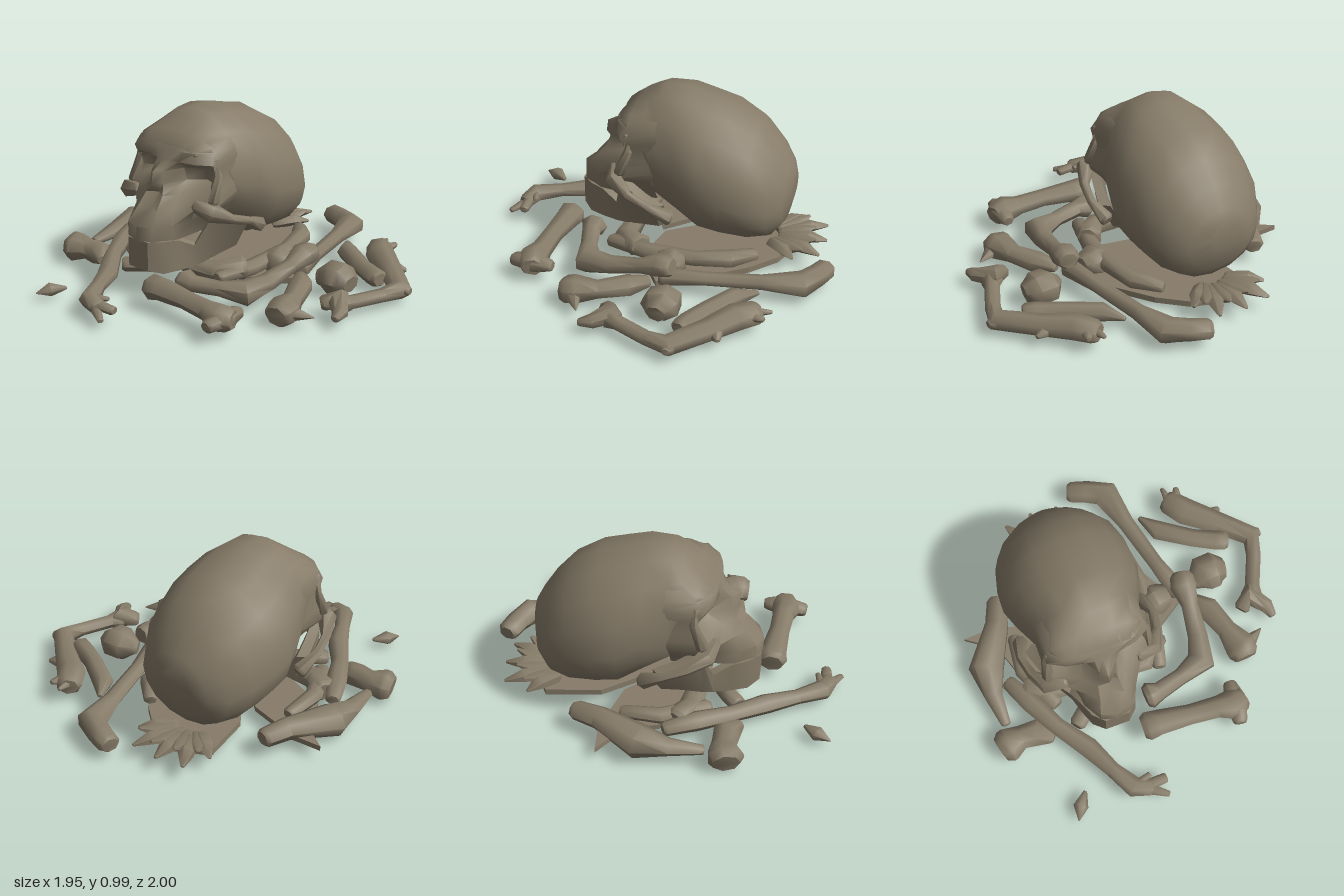
import * as THREE from 'three';
import { toCreasedNormals } from 'three/addons/utils/BufferGeometryUtils.js';

const boneMaterial = new THREE.MeshStandardMaterial({ color: 0x877c69, side: THREE.DoubleSide });
boneMaterial.name = 'old bone';

// Skin a list of rings; closed wraps each ring and fills both ends.
function loft(rings, closed, crease) {
  const n = rings[0].length, pos = rings.flat(2), idx = [];
  for (let i = 0; i < rings.length - 1; i++) {
    for (let j = 0; j < (closed ? n : n - 1); j++) {
      const k = (j + 1) % n;
      const a = i * n + j, b = i * n + k, d = a + n, c = b + n;
      idx.push(a, d, b, b, d, c);
    }
  }
  if (closed) {
    const e = (rings.length - 1) * n;
    for (let j = 1; j < n - 1; j++) idx.push(0, j, j + 1, e, e + j + 1, e + j);
  }
  const g = new THREE.BufferGeometry();
  g.setAttribute('position', new THREE.Float32BufferAttribute(pos, 3));
  g.setIndex(idx);
  return toCreasedNormals(g, crease);
}

// Bone running through [x, y, z, radius] points, with chamfered ends.
function boneGeometry(pts, sides = 7, flat = 0.85) {
  const chamfer = (end, next) => {
    const e = new THREE.Vector3(...end), inner = new THREE.Vector3(...next).sub(e).setLength(end[3] * 0.35).add(e);
    return [[end[0], end[1], end[2], end[3] * 0.75], [...inner.toArray(), end[3]]];
  };
  const last = pts.length - 1;
  const path = [...chamfer(pts[0], pts[1]), ...pts.slice(1, -1), ...chamfer(pts[last], pts[last - 1]).reverse()];
  const v = path.map(p => new THREE.Vector3(p[0], p[1], p[2]));
  const up = new THREE.Vector3(0, 1, 0);
  return loft(v.map((p, i) => {
    const t = v[Math.min(i + 1, v.length - 1)].clone().sub(v[Math.max(i - 1, 0)]).normalize();
    const s = t.clone().cross(up).normalize(), u = s.clone().cross(t);
    return Array.from({ length: sides }, (_, j) => {
      const a = j / sides * Math.PI * 2, r = path[i][3];
      return p.clone().addScaledVector(s, Math.cos(a) * r)
        .addScaledVector(u, Math.sin(a) * r * flat).toArray();
    });
  }), true, 1);
}

export function createModel() {
  const model = new THREE.Group();
  model.name = 'skullOnBones';
  const add = (name, geometry, parent = model) => {
    const m = new THREE.Mesh(geometry, boneMaterial);
    m.name = name;
    parent.add(m);
  };

  // Skull, turned a little to its right
  const skull = new THREE.Group();
  skull.name = 'skull';
  skull.position.x = -0.275;
  skull.rotation.y = -0.06;
  model.add(skull);

  // Cranium sections: z, half width, top, bottom
  const cranium = [
    [0.275, 0.2, 0.81, 0.75], [0.2, 0.265, 0.865, 0.73], [0.11, 0.285, 0.935, 0.52],
    [0.05, 0.305, 0.97, 0.3], [-0.09, 0.365, 0.968, 0.23], [-0.22, 0.4, 0.93, 0.15],
    [-0.35, 0.395, 0.897, 0.13], [-0.5, 0.36, 0.81, 0.12], [-0.61, 0.29, 0.69, 0.14],
    [-0.68, 0.2, 0.585, 0.23], [-0.71, 0.09, 0.53, 0.36],
  ].map(([z, w, top, bot]) => {
    const mid = bot + (top - bot) * 0.42;
    return Array.from({ length: 16 }, (_, j) => {
      const a = j / 16 * Math.PI * 2, s = Math.sin(a), c = Math.cos(a);
      return [w * Math.sign(c) * Math.abs(c) ** 0.95, mid + s * (s > 0 ? top - mid : mid - bot), z];
    });
  });
  add('cranium', loft(cranium, true, 1.1), skull);

  // Face rows: height, then x and z pairs from the midline outwards
  const face = [
    [0.84, 0, 0.23, 0.06, 0.23, 0.12, 0.22, 0.18, 0.18, 0.23, 0.1, 0.24, 0.03],
    [0.79, 0, 0.29, 0.05, 0.295, 0.12, 0.295, 0.2, 0.27, 0.27, 0.2, 0.28, 0.03],
    [0.73, 0, 0.31, 0.045, 0.31, 0.1, 0.3, 0.2, 0.28, 0.29, 0.23, 0.29, 0.02],
    [0.68, 0, 0.4, 0.04, 0.36, 0.09, 0.24, 0.2, 0.18, 0.285, 0.21, 0.29, 0.01],
    [0.61, 0, 0.41, 0.05, 0.37, 0.1, 0.23, 0.19, 0.16, 0.285, 0.2, 0.3, 0],
    [0.55, 0, 0.35, 0.06, 0.39, 0.12, 0.33, 0.2, 0.28, 0.3, 0.24, 0.3, 0],
    [0.48, 0, 0.41, 0.07, 0.45, 0.13, 0.39, 0.22, 0.31, 0.31, 0.26, 0.29, 0.05],
    [0.4, 0, 0.54, 0.09, 0.51, 0.15, 0.42, 0.18, 0.29, 0.21, 0.19, 0.23, 0.05],
    [0.31, 0, 0.54, 0.09, 0.51, 0.15, 0.4, 0.16, 0.28, 0.17, 0.15, 0.17, 0.05],
    [0.33, 0, 0.1, 0.05, 0.1, 0.08, 0.1, 0.1, 0.08, 0.12, 0.05, 0.14, 0.0],
  ].map(([y, ...p]) => {
    const half = [];
    for (let i = 0; i < p.length; i += 2) half.push([p[i], y, p[i + 1]]);
    return [...half.slice(1).reverse().map(q => [-q[0], y, q[2]]), ...half];
  });
  add('face', loft(face, false, 1), skull);

  // Jaw sections: bottom x, top x, z, bottom, top; the last ones are the upright branch
  const jaw = [
    [0.07, 0.07, 0.53, 0.15, 0.32], [0.13, 0.13, 0.47, 0.13, 0.32], [0.165, 0.165, 0.38, 0.13, 0.31],
    [0.19, 0.2, 0.29, 0.13, 0.26], [0.21, 0.3, 0.23, 0.14, 0.46], [0.23, 0.33, 0.12, 0.16, 0.4],
    [0.27, 0.36, 0.01, 0.19, 0.36],
  ];
  const jawRing = ([xb, xt, z, b, t], s) =>
    [[s * xb, b, z], [s * xt, t, z], [s * xt * 0.86, t, z - 0.04], [s * xb * 0.82, b, z - 0.04]];
  add('jaw', loft([...jaw.slice().reverse().map(p => jawRing(p, -1)), ...jaw.map(p => jawRing(p, 1))], true, 0.7), skull);

  for (const s of [-1, 1]) {
    add('cheekArch', boneGeometry([
      [s * 0.2, 0.5, 0.29, 0.04], [s * 0.31, 0.47, 0.26, 0.055], [s * 0.37, 0.42, 0.16, 0.028],
      [s * 0.395, 0.38, 0.04, 0.025], [s * 0.36, 0.31, -0.09, 0.045]], 6, 1), skull);
    add('eyeRim', boneGeometry([
      [s * 0.265, 0.76, 0.2, 0.025], [s * 0.285, 0.66, 0.185, 0.025], [s * 0.295, 0.51, 0.24, 0.035]], 6, 1), skull);
  }

  // Long bones lying around the skull
  const bones = {
    thighBone: [[0.01, 0.075, -0.95, 0.065], [0.12, 0.08, -0.9, 0.07], [0.22, 0.08, -0.84, 0.085], [0.255, 0.08, -0.62, 0.05], [0.31, 0.09, -0.3, 0.045], [0.36, 0.1, -0.06, 0.06]],
    bentBone: [[0.4, 0.2, -0.15, 0.07], [0.38, 0.19, -0.07, 0.08], [0.37, 0.16, 0.04, 0.05], [0.34, 0.12, 0.22, 0.06], [0.3, 0.1, 0.36, 0.085], [0.15, 0.1, 0.4, 0.05], [0, 0.1, 0.43, 0.055], [-0.09, 0.1, 0.43, 0.08]],
    frontBone: [[-0.18, 0.1, 0.59, 0.085], [-0.08, 0.11, 0.6, 0.075], [0.1, 0.11, 0.63, 0.06], [0.26, 0.1, 0.65, 0.065], [0.34, 0.09, 0.67, 0.09], [0.43, 0.09, 0.65, 0.08]],
    frontKnuckle: [[0.39, 0.09, 0.54, 0.04], [0.38, 0.09, 0.64, 0.065], [0.35, 0.08, 0.79, 0.045]],
    shortBone: [[0.4, 0.09, -0.02, 0.04], [0.47, 0.09, 0.08, 0.07], [0.52, 0.07, 0.24, 0.06], [0.55, 0.07, 0.36, 0.095], [0.55, 0.06, 0.44, 0.09]],
    shortBoneSpur: [[0.56, 0.07, 0.38, 0.06], [0.71, 0.05, 0.31, 0.004]],
    thinBone: [[0.34, 0.07, -0.62, 0.015], [0.41, 0.07, -0.5, 0.06], [0.58, 0.07, -0.37, 0.055], [0.7, 0.07, -0.3, 0.06], [0.77, 0.07, -0.27, 0.06]],
    elbowBone: [[0.53, 0.08, -0.66, 0.075], [0.61, 0.08, -0.54, 0.085], [0.74, 0.07, -0.42, 0.07], [0.91, 0.06, -0.24, 0.065], [0.87, 0.06, -0.12, 0.045], [0.78, 0.06, 0.05, 0.045], [0.74, 0.06, 0.12, 0.065]],
    elbowCorner: [[0.84, 0.07, -0.32, 0.05], [0.91, 0.06, -0.25, 0.055], [0.97, 0.06, -0.25, 0.03]],
    elbowKnuckle: [[0.65, 0.06, 0.16, 0.05], [0.73, 0.08, 0.1, 0.07], [0.8, 0.06, 0.2, 0.045], [0.81, 0.05, 0.27, 0.025]],
    elbowSpur: [[0.7, 0.07, -0.44, 0.07], [0.81, 0.06, -0.49, 0.015]],
    elbowProngA: [[0.55, 0.09, -0.63, 0.03], [0.54, 0.1, -0.73, 0.012]],
    elbowProngB: [[0.59, 0.09, -0.61, 0.035], [0.62, 0.1, -0.7, 0.018]],
    sideBone: [[-0.64, 0.1, -0.48, 0.06], [-0.7, 0.1, -0.33, 0.07], [-0.86, 0.09, -0.1, 0.105], [-0.88, 0.08, 0.06, 0.055], [-0.88, 0.07, 0.25, 0.03]],
    sideStub: [[-0.965, 0.06, 0.37, 0.1], [-0.91, 0.07, 0.36, 0.1], [-0.83, 0.07, 0.35, 0.07], [-0.74, 0.07, 0.36, 0.08], [-0.66, 0.07, 0.43, 0.04]],
    armBone: [[-0.78, 0.11, 0.02, 0.045], [-0.7, 0.11, 0.2, 0.06], [-0.62, 0.1, 0.38, 0.05], [-0.5, 0.08, 0.57, 0.06], [-0.43, 0.08, 0.74, 0.045], [-0.36, 0.08, 0.88, 0.06], [-0.26, 0.07, 0.92, 0.05]],
    fingerA: [[-0.33, 0.08, 0.9, 0.035], [-0.17, 0.07, 0.9, 0.03]],
    fingerB: [[-0.31, 0.06, 0.9, 0.035], [-0.19, 0.04, 0.99, 0.018]],
    fingerC: [[-0.36, 0.09, 0.88, 0.03], [-0.25, 0.1, 0.85, 0.015]],
    pileBoneA: [[-0.7, 0.1, 0.08, 0.08], [-0.58, 0.1, 0.16, 0.07], [-0.3, 0.08, 0.2, 0.05], [0.0, 0.1, 0.22, 0.07], [0.12, 0.12, 0.1, 0.08]],
    pileKnuckle: [[0.11, 0.1, -0.08, 0.06], [0.2, 0.1, -0.09, 0.1], [0.29, 0.1, -0.1, 0.08]],
    pileBoneB: [[0.04, 0.12, -0.55, 0.04], [0.14, 0.13, -0.42, 0.06], [0.17, 0.12, -0.22, 0.05], [0.13, 0.1, 0.05, 0.055], [0.06, 0.1, 0.3, 0.045]],
    pileBoneC: [[-0.64, 0.1, -0.22, 0.04], [-0.67, 0.11, 0, 0.05], [-0.57, 0.1, 0.27, 0.05]],
    pileBoneD: [[-0.52, 0.08, 0.42, 0.05], [-0.44, 0.08, 0.36, 0.05], [-0.3, 0.08, 0.28, 0.05]],
    loosePiece: [[0.46, 0.07, -0.1, 0.06], [0.53, 0.08, -0.13, 0.11], [0.61, 0.08, -0.13, 0.11], [0.67, 0.07, -0.12, 0.08]],
    looseChip: [[-0.72, 0.03, 0.92, 0.004], [-0.68, 0.04, 0.85, 0.045], [-0.62, 0.04, 0.78, 0.012]],
  };
  for (const [name, pts] of Object.entries(bones)) add(name, boneGeometry(pts));

  // Flat blades under the pile, outlined in x and z
  const blade = (name, y, depth, outline) => {
    const g = new THREE.ExtrudeGeometry(new THREE.Shape(outline.map(p => new THREE.Vector2(...p))),
      { depth, bevelEnabled: false });
    add(name, g.rotateX(Math.PI / 2).translate(0, y, 0));
  };
  blade('hipBlade', 0.05, 0.035, [[0.34, -0.04], [0.21, -0.32], [0.08, -0.52], [-0.06, -0.66], [-0.25, -0.74], [-0.44, -0.66], [-0.42, -0.35], [-0.18, 0.03], [0.1, 0.1]]);
  blade('shoulderBlade', 0.07, 0.03, [[-0.91, -0.33], [-0.74, -0.33], [-0.43, -0.22], [-0.2, 0.05], [-0.45, 0.13], [-0.7, 0.0], [-0.75, -0.2]]);

  // Jagged broken rim of the hip blade, behind the skull
  [0.3, 0.29, 0.38, 0.3, 0.37, 0.32, 0.38, 0.31, 0.3].forEach((r, i) => {
    const a = -2.35 + i * 0.2, dx = Math.cos(a) * r * 1.1, dz = Math.sin(a) * r;
    add('jaggedRim', boneGeometry([
      [-0.26 + dx * 0.3, 0.07, -0.54 + dz * 0.3, 0.05],
      [-0.26 + dx * 0.72, 0.09, -0.54 + dz * 0.72, 0.048],
      [-0.26 + dx, 0.08 + (i % 2) * 0.04, -0.54 + dz, 0.012]], 5, 0.7));
  });
  return model;
}
